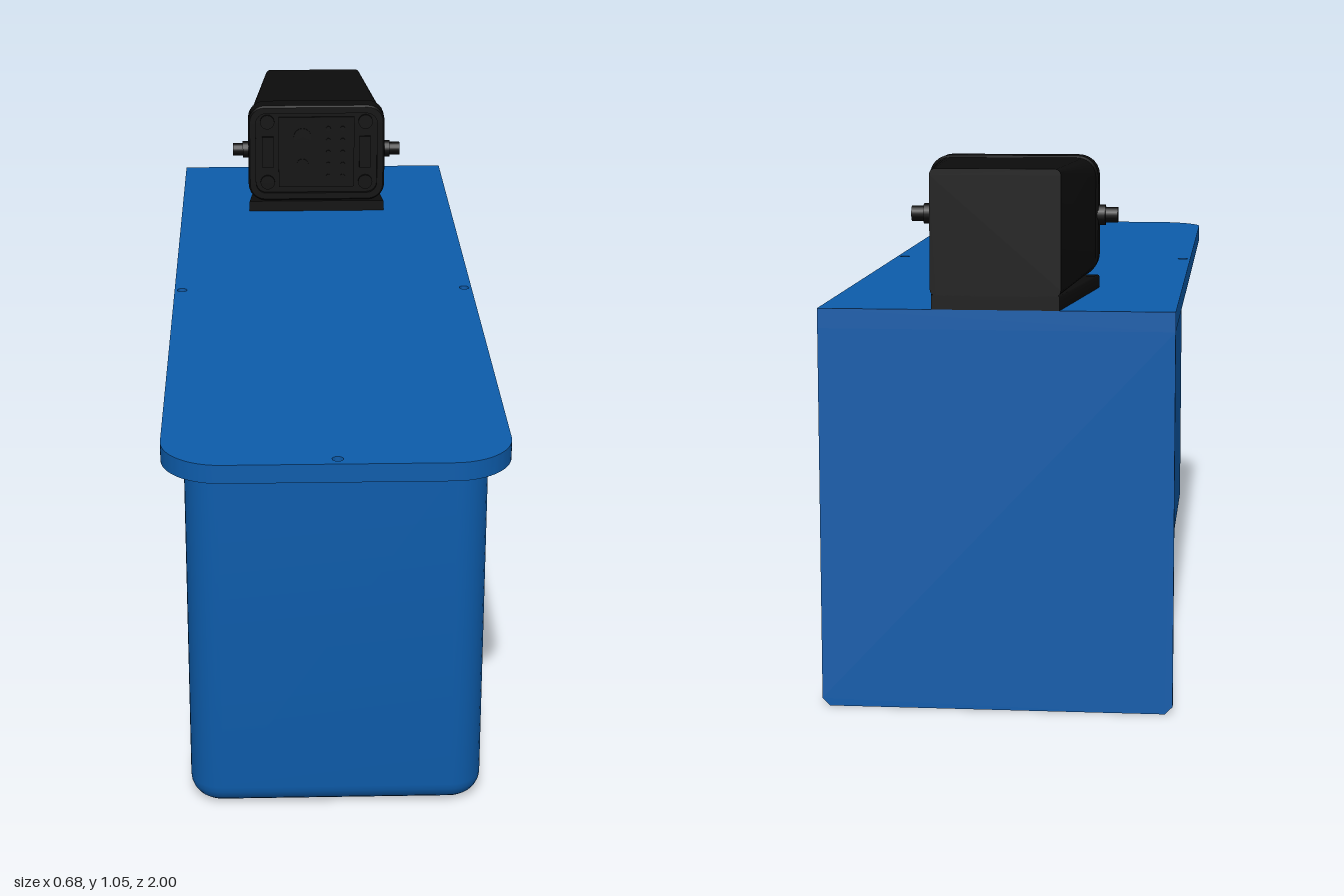
import * as THREE from 'three';
import { toCreasedNormals } from 'three/addons/utils/BufferGeometryUtils.js';

const blue = new THREE.MeshStandardMaterial({ name: 'blue', color: 0x0d5cab });
const black = new THREE.MeshStandardMaterial({ name: 'black', color: 0x0c0c0c });

function add(parent, name, geometry, material, x = 0, y = 0, z = 0) {
  const mesh = new THREE.Mesh(geometry, material);
  mesh.name = name;
  mesh.position.set(x, y, z);
  parent.add(mesh);
  return mesh;
}

// Skin through matching convex rings, closed at both ends
function loft(rings) {
  const pos = [];
  const n = rings[0].length;
  const tri = (a, b, c) => pos.push(...a, ...b, ...c);
  for (let i = 0; i < rings.length - 1; i++) {
    for (let j = 0; j < n; j++) {
      const k = (j + 1) % n;
      tri(rings[i][j], rings[i][k], rings[i + 1][k]);
      tri(rings[i][j], rings[i + 1][k], rings[i + 1][j]);
    }
  }
  const first = rings[0], last = rings[rings.length - 1];
  for (let j = 1; j < n - 1; j++) {
    tri(first[0], first[j + 1], first[j]);
    tri(last[0], last[j], last[j + 1]);
  }
  const g = new THREE.BufferGeometry();
  g.setAttribute('position', new THREE.Float32BufferAttribute(pos, 3));
  return toCreasedNormals(g, 0.6);
}

// Rounded rectangle in the xy plane at depth z
function rectRing(w, y0, y1, r, z) {
  const pts = [];
  const centres = [[w - r, y1 - r], [r - w, y1 - r], [r - w, y0 + r], [w - r, y0 + r]];
  centres.forEach(([cx, cy], q) => {
    for (let s = 0; s <= 6; s++) {
      const a = (q + s / 6) * Math.PI / 2;
      pts.push([cx + r * Math.cos(a), cy + r * Math.sin(a), z]);
    }
  });
  return pts;
}

// Tank outline at height y: square at the back, rounded at the front
function tankRing(y, inset) {
  const w = 0.295 - inset, front = 0.95 - inset, r = 0.065 - inset;
  const pts = [[-w, y, -0.985]];
  for (const [side, start] of [[-1, -Math.PI / 2], [1, 0]]) {
    for (let s = 0; s <= 8; s++) {
      const a = start + s / 8 * Math.PI / 2;
      pts.push([side * (w - r) + r * Math.sin(a), y, front - r + r * Math.cos(a)]);
    }
  }
  pts.push([w, y, -0.985]);
  return pts;
}

function createTank() {
  const rings = [];
  const fillet = 0.045;
  for (let s = 0; s <= 6; s++) {
    const a = s / 6 * Math.PI / 2;
    rings.push(tankRing(fillet * (1 - Math.sin(a)), fillet * (1 - Math.cos(a))));
  }
  rings.reverse();
  rings.push(tankRing(0.745, 0));
  return loft(rings);
}

function createLid() {
  // Drawn with shape y = -z, then laid flat
  const w = 0.34, r = 0.12;
  const shape = new THREE.Shape();
  shape.moveTo(-w, 1);
  shape.lineTo(-w, -1 + r);
  shape.absarc(-w + r, -1 + r, r, Math.PI, Math.PI * 1.5, false);
  shape.absarc(w - r, -1 + r, r, Math.PI * 1.5, Math.PI * 2, false);
  shape.lineTo(w, 1);
  for (const [x, z] of [[-0.323, 0], [0.323, 0], [0, 0.975]]) {
    const hole = new THREE.Path();
    hole.absarc(x, -z, 0.011, 0, Math.PI * 2, true);
    shape.holes.push(hole);
  }
  const g = new THREE.ExtrudeGeometry(shape, { depth: 0.038, bevelEnabled: false, curveSegments: 12 });
  g.rotateX(-Math.PI / 2);
  return toCreasedNormals(g, 0.6);
}

function createBackPlate() {
  const w = 0.34, c = 0.015;
  const shape = new THREE.Shape();
  shape.moveTo(-w + c, 0);
  shape.lineTo(w - c, 0);
  shape.lineTo(w, c);
  shape.lineTo(w, 0.74);
  shape.lineTo(-w, 0.74);
  shape.lineTo(-w, c);
  return new THREE.ExtrudeGeometry(shape, { depth: 0.015, bevelEnabled: false });
}

function createConnector() {
  const group = new THREE.Group();
  group.name = 'connector';

  // Tapered mounting base and housing with a raised front rim
  add(group, 'connectorBase', loft([
    rectRing(0.122, 0.776, 0.806, 0.004, -1),
    rectRing(0.165, 0.776, 0.806, 0.004, -0.645),
    rectRing(0.17, 0.776, 0.804, 0.004, -0.6),
  ]), black);
  add(group, 'connectorHousing', loft([
    rectRing(0.124, 0.804, 1.044, 0.012, -1),
    rectRing(0.166, 0.806, 1.046, 0.038, -0.66),
    rectRing(0.171, 0.806, 1.05, 0.042, -0.655),
    rectRing(0.171, 0.806, 1.05, 0.042, -0.605),
    rectRing(0.167, 0.81, 1.046, 0.038, -0.6),
    rectRing(0.152, 0.825, 1.031, 0.026, -0.6),
    rectRing(0.152, 0.825, 1.031, 0.026, -0.61),
  ]), black);

  const stud = (name, r, x, y) => {
    const g = new THREE.CylinderGeometry(r, r, 0.008, 16).rotateX(Math.PI / 2);
    add(group, name, g, black, x, y, -0.606);
  };
  for (const side of [-1, 1]) {
    // Locking pin with a collar
    add(group, 'lockingPin', new THREE.CylinderGeometry(0.016, 0.016, 0.06, 16).rotateZ(Math.PI / 2),
      black, side * 0.18, 0.93, -0.637);
    add(group, 'pinCollar', new THREE.CylinderGeometry(0.021, 0.021, 0.02, 16).rotateZ(Math.PI / 2),
      black, side * 0.175, 0.93, -0.637);
    add(group, 'sideTab', new THREE.BoxGeometry(0.028, 0.08, 0.008), black, side * 0.122, 0.93, -0.606);
    for (const y of [0.852, 1.008]) stud('cornerScrew', 0.018, side * 0.123, y);
  }

  // Contact face
  add(group, 'contactBlock', new THREE.BoxGeometry(0.19, 0.18, 0.006), black, 0, 0.93, -0.608);
  stud('largeContact', 0.022, -0.035, 0.97);
  stud('largeContact', 0.015, -0.035, 0.898);
  for (const x of [0.03, 0.066]) {
    for (let i = 0; i < 5; i++) stud('smallContact', 0.006, x, 0.867 + i * 0.031);
  }
  return group;
}

export function createModel() {
  const model = new THREE.Group();
  model.name = 'enclosure';
  add(model, 'tank', createTank(), blue);
  add(model, 'lid', createLid(), blue, 0, 0.74, 0);
  add(model, 'backPlate', createBackPlate(), blue, 0, 0, -1);
  model.add(createConnector());
  return model;
}
